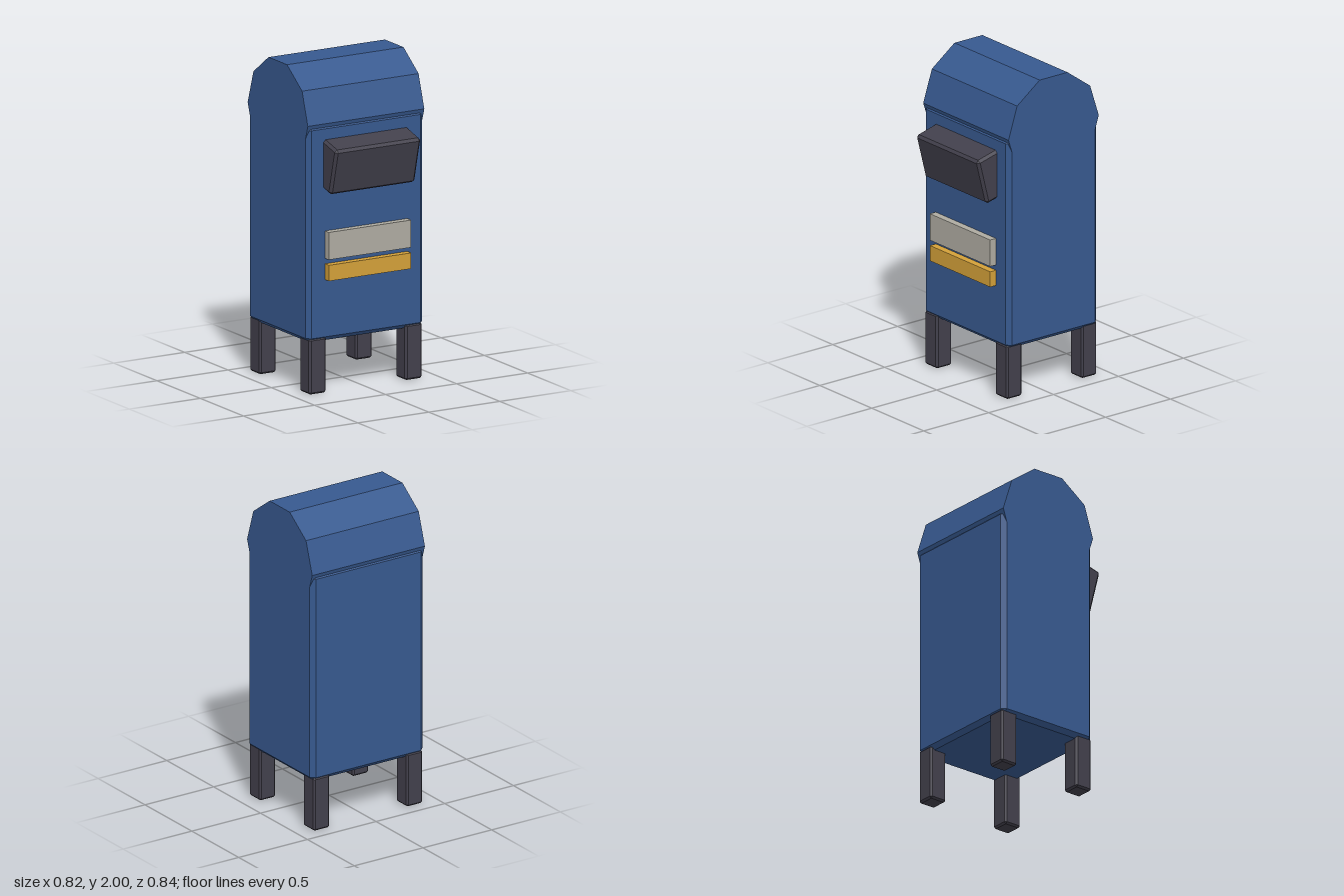
import * as THREE from 'three';
import { ConvexGeometry } from 'three/addons/geometries/ConvexGeometry.js';

const paint = (name, color) => {
  const m = new THREE.MeshStandardMaterial({ color, flatShading: true });
  m.name = name;
  return m;
};

// Box with every edge cut at 45 degrees
function chamferBox(w, h, d, c) {
  const points = [];
  for (const x of [-1, 1]) for (const y of [-1, 1]) for (const z of [-1, 1]) {
    points.push(
      new THREE.Vector3(x * w / 2, y * (h / 2 - c), z * (d / 2 - c)),
      new THREE.Vector3(x * (w / 2 - c), y * h / 2, z * (d / 2 - c)),
      new THREE.Vector3(x * (w / 2 - c), y * (h / 2 - c), z * d / 2));
  }
  return new ConvexGeometry(points);
}

export function createModel() {
  const group = new THREE.Group();
  group.name = 'mailbox';
  const blue = paint('blue', 0x37598f);
  const charcoal = paint('charcoal', 0x42404c);
  const grey = paint('warmGrey', 0xaeaba1);
  const yellow = paint('yellow', 0xd3a039);

  const add = (name, geometry, material, x, y, z) => {
    const mesh = new THREE.Mesh(geometry, material);
    mesh.name = name;
    mesh.position.set(x, y, z);
    group.add(mesh);
    return mesh;
  };

  const midZ = -0.0725;

  // Body
  add('body', chamferBox(0.82, 1.345, 0.695, 0.027), blue, 0, 0.9925, midZ);

  // Ten-sided rounded top lying along x, with a flat on top
  const hood = new THREE.CylinderGeometry(0.3475, 0.3475, 0.82, 10);
  hood.rotateZ(Math.PI / 2);
  add('hood', hood, blue, 0, 1.6695, midZ);

  // Four legs
  const leg = chamferBox(0.118, 0.345, 0.118, 0.011);
  for (const x of [-1, 1]) for (const z of [-1, 1]) {
    add('leg', leg, charcoal, x * 0.338, 0.1725, midZ + z * 0.2885);
  }

  // Tilted letter flap
  const tilt = 0.25, depth = 0.22;
  const flap = add('letterFlap', chamferBox(0.602, 0.3, depth, 0.016), charcoal,
    0, 1.387 + Math.sin(tilt) * depth / 2, 0.388 - Math.cos(tilt) * depth / 2);
  flap.rotation.x = tilt;

  // Front plates
  add('noticePlate', new THREE.BoxGeometry(0.58, 0.17, 0.06), grey, 0, 0.92, 0.29);
  add('stripePlate', new THREE.BoxGeometry(0.58, 0.098, 0.06), yellow, 0, 0.752, 0.29);

  return group;
}
